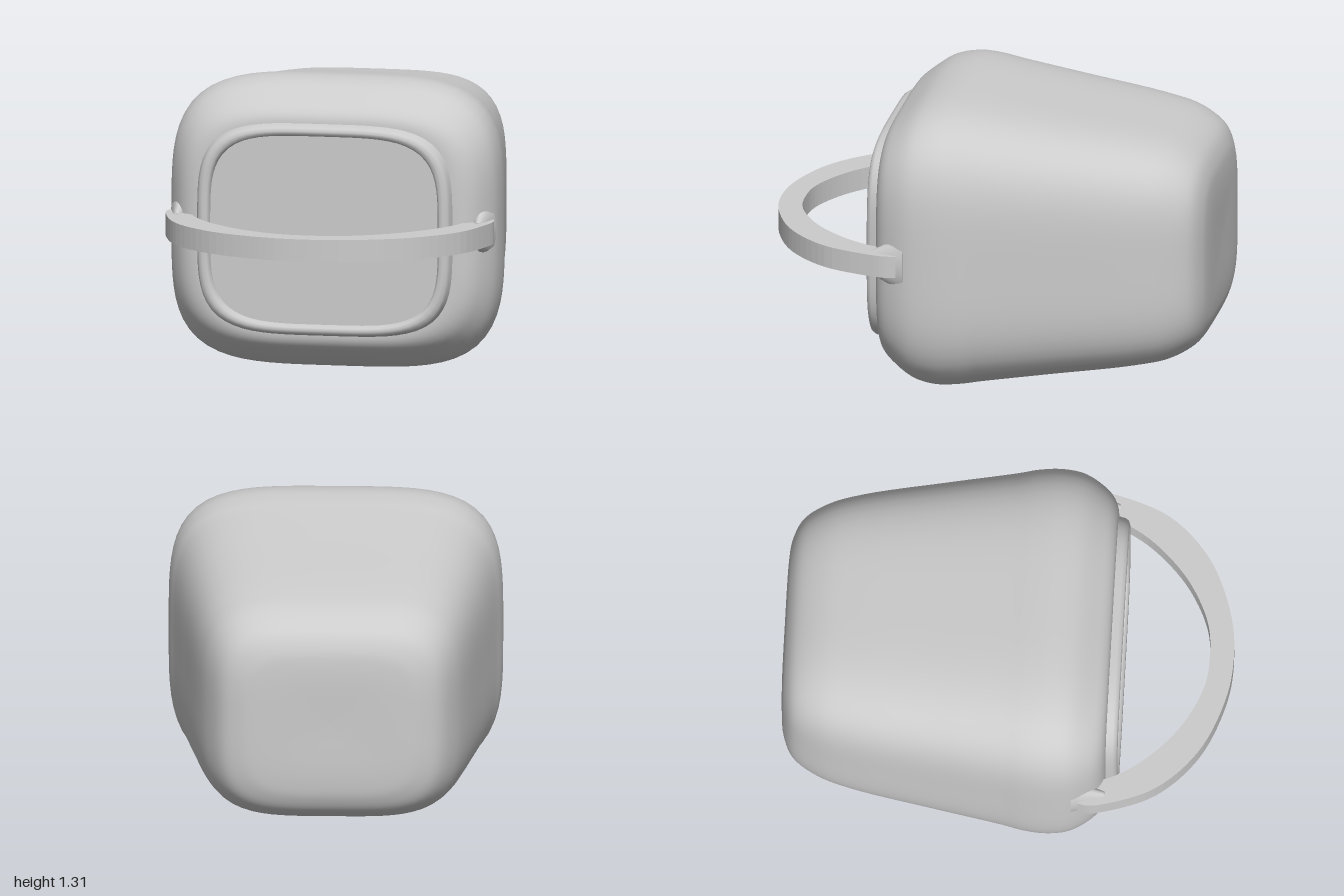
import * as THREE from 'three';

const CY = 0.655; // height of the body's axis
const SIDES = 96;

// Soft rounded rectangle (superellipse), counter-clockwise seen from the front
function ring(w, h, n = 4) {
  const pts = [];
  for (let i = 0; i < SIDES; i++) {
    const a = (i / SIDES) * Math.PI * 2, c = Math.cos(a), s = Math.sin(a);
    const r = Math.pow(Math.abs(c) ** n + Math.abs(s) ** n, -1 / n);
    pts.push(new THREE.Vector2(w * r * c, h * r * s));
  }
  return pts;
}

// Skin a row of sections [half width, half height, z, x shift] from front to back
function loft(sections) {
  const pos = [], idx = [];
  sections.forEach(([w, h, z, dx = 0], i) => {
    ring(w, h).forEach((p, j) => {
      pos.push(p.x + dx, p.y + CY, z);
      if (i === sections.length - 1) return;
      const a = i * SIDES + j, b = i * SIDES + (j + 1) % SIDES;
      idx.push(a, a + SIDES, b, b, a + SIDES, b + SIDES);
    });
  });
  const g = new THREE.BufferGeometry();
  g.setAttribute('position', new THREE.Float32BufferAttribute(pos, 3));
  g.setIndex(idx);
  g.computeVertexNormals();
  return g;
}

// Smooth the sections with a curve through (w, h, z)
function smooth(sections, count) {
  const curve = new THREE.CatmullRomCurve3(sections.map((s) => new THREE.Vector3(...s)));
  return curve.getPoints(count).map((p) => [p.x, p.y, p.z]);
}

export function createModel() {
  const model = new THREE.Group();
  const mat = new THREE.MeshStandardMaterial({ color: 0xcccccc, roughness: 0.7 });
  const add = (name, geometry, parent = model) => {
    const m = new THREE.Mesh(geometry, mat);
    m.name = name;
    parent.add(m);
    return m;
  };

  // Body: widest near the front, tapering to a rounded back
  const body = smooth([
    [0.54, 0.44, 0.46], [0.60, 0.50, 0.455], [0.645, 0.535, 0.435], [0.685, 0.57, 0.395],
    [0.733, 0.632, 0.30], [0.745, 0.655, 0.20], [0.738, 0.65, 0.10], [0.718, 0.634, 0],
    [0.668, 0.59, -0.30], [0.60, 0.535, -0.68], [0.555, 0.50, -0.83],
    [0.49, 0.435, -0.94], [0.41, 0.36, -0.985], [0.32, 0.27, -1], [0.001, 0.001, -1],
  ], 90);
  add('body', loft(body));

  // Raised rim around the front panel
  const dx = -0.01;
  add('frontRim', loft([
    [0.515, 0.425, 0.465, dx], [0.518, 0.428, 0.495, dx], [0.528, 0.437, 0.507, dx],
    [0.545, 0.45, 0.51, dx], [0.562, 0.464, 0.504, dx], [0.572, 0.473, 0.488, dx],
    [0.58, 0.48, 0.45, dx],
  ]));

  // Flat panel set inside the rim
  const panel = add('frontPanel', new THREE.ShapeGeometry(new THREE.Shape(ring(0.517, 0.427))));
  panel.position.set(dx, CY, 0.475);

  // Carrying handle: a flat arched band, drawn in plan and extruded upward
  const outer = [[0.735, 0.34], [0.735, 0.44], [0.645, 0.68], [0.46, 0.865], [0.22, 0.97]];
  const inner = [[0.59, 0.40], [0.61, 0.46], [0.52, 0.615], [0.36, 0.77], [0.17, 0.87]];
  const arch = (half, top) => {
    const left = half.map(([x, z]) => new THREE.Vector2(x, z));
    const right = half.map(([x, z]) => new THREE.Vector2(-x, z)).reverse();
    return new THREE.SplineCurve([...left, new THREE.Vector2(0, top), ...right]).getPoints(60);
  };
  const band = new THREE.Shape([...arch(outer, 1.0), ...arch(inner, 0.893).reverse()]);
  const handle = add('handle', new THREE.ExtrudeGeometry(band, { depth: 0.1, bevelEnabled: false }));
  handle.rotation.x = Math.PI / 2;
  handle.position.y = 0.705;

  // Flared mounts where the handle meets the body
  for (const side of [1, -1]) {
    const g = new THREE.CylinderGeometry(0.055, 0.135, 0.15, 20);
    g.rotateX(Math.PI / 2);
    g.scale(0.42, 1, 1);
    const mount = add(side > 0 ? 'leftHandleMount' : 'rightHandleMount', g);
    mount.position.set(side * 0.682, CY, 0.385);
  }
  return model;
}
